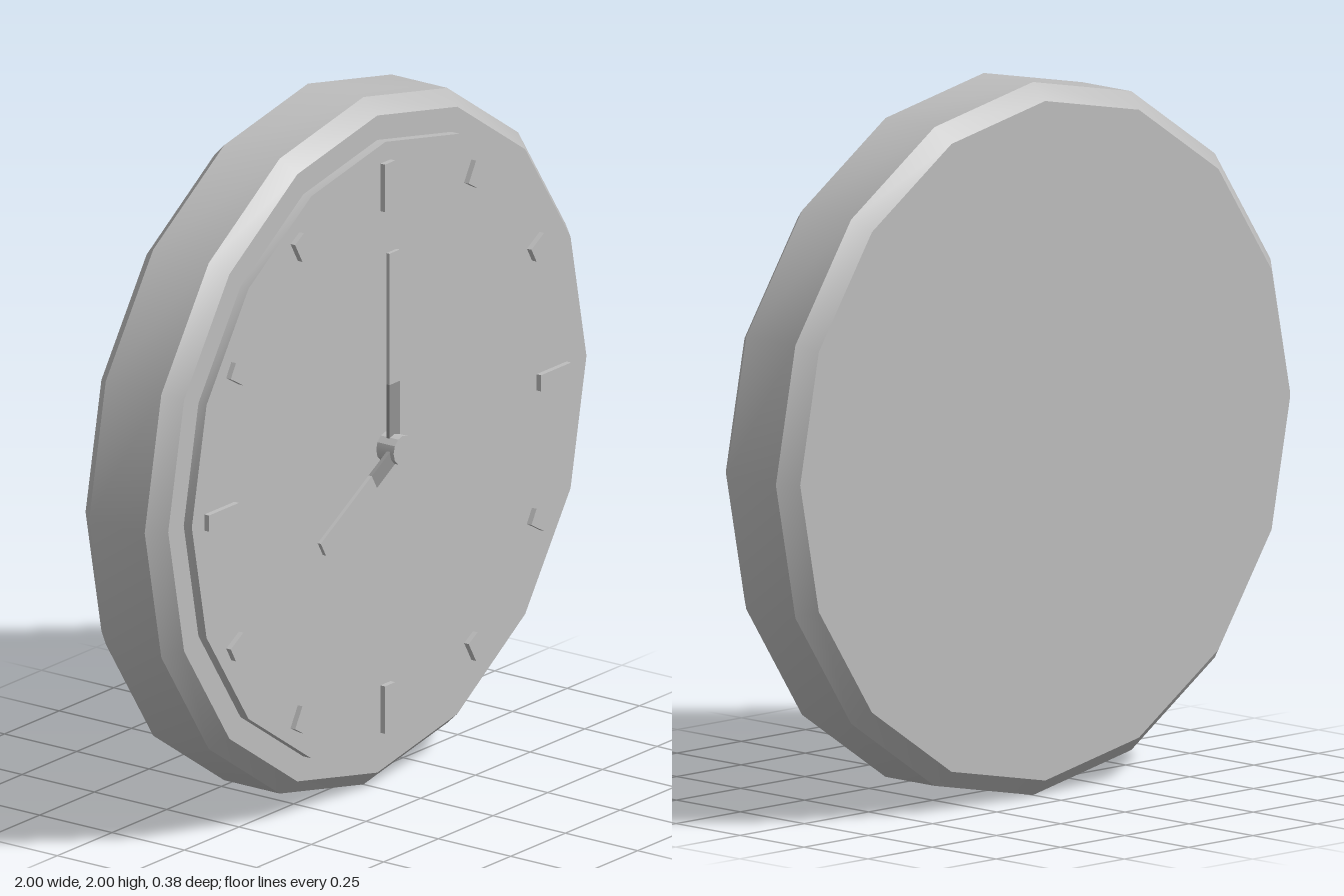
import * as THREE from 'three';
import { toCreasedNormals } from 'three/addons/utils/BufferGeometryUtils.js';

const grey = new THREE.MeshStandardMaterial({ color: 0xbdbdbd });
grey.name = 'light grey';
const darkGrey = new THREE.MeshStandardMaterial({ color: 0x929292 });
darkGrey.name = 'dark grey';

const SIDES = 16;
const CENTRE_Y = 1;

export function createModel() {
  const clock = new THREE.Group();
  clock.name = 'wallClock';
  const dial = new THREE.Group();
  dial.name = 'dial';
  dial.position.y = CENTRE_Y;
  clock.add(dial);

  const add = (name, geometry, material, parent = dial) => {
    const mesh = new THREE.Mesh(geometry, material);
    mesh.name = name;
    parent.add(mesh);
    return mesh;
  };

  // Turned solid around the z axis from [radius, z] points, back to front
  const turned = (points, sides) => {
    const g = new THREE.LatheGeometry(points.map(([r, z]) => new THREE.Vector2(r, z)), sides);
    g.rotateX(Math.PI / 2);
    return toCreasedNormals(g, Math.PI / 6);
  };

  // Casing with bevelled front and back rims
  add('casing', turned([
    [0, -0.188], [0.953, -0.188], [1, -0.14], [1, 0.052], [0.956, 0.1], [0, 0.1],
  ], SIDES), grey);

  // Raised face plate
  add('facePlate', turned([[0.885, 0.1], [0.885, 0.128], [0, 0.128]], SIDES), grey);

  // Radial bar from r0 to r1, turned clockwise from twelve
  const bar = (name, hour, r0, r1, width, z0, z1, material) => {
    const g = new THREE.BoxGeometry(width, r1 - r0, z1 - z0);
    g.translate(0, (r0 + r1) / 2, (z0 + z1) / 2);
    g.rotateZ(-hour * Math.PI / 6);
    return add(name, g, material);
  };

  // Hour markers, longer at the quarters
  for (let h = 0; h < 12; h++) {
    const quarter = h % 3 === 0;
    bar('hourMarker' + (h || 12), h, quarter ? 0.69 : 0.76, quarter ? 0.828 : 0.827,
      0.047, 0.126, 0.144, grey);
  }

  // Hands, each with a darker root
  bar('minuteHandRoot', 0, 0, 0.19, 0.047, 0.149, 0.16, darkGrey);
  bar('minuteHand', 0, 0.19, 0.572, 0.047, 0.149, 0.16, grey);
  bar('hourHandRoot', 8, 0, 0.13, 0.047, 0.164, 0.175, darkGrey);
  bar('hourHand', 8, 0.13, 0.399, 0.047, 0.164, 0.175, grey);

  // Central hub
  add('hub', turned([[0.042, 0.126], [0.042, 0.188], [0, 0.188]], 12), grey);

  return clock;
}
